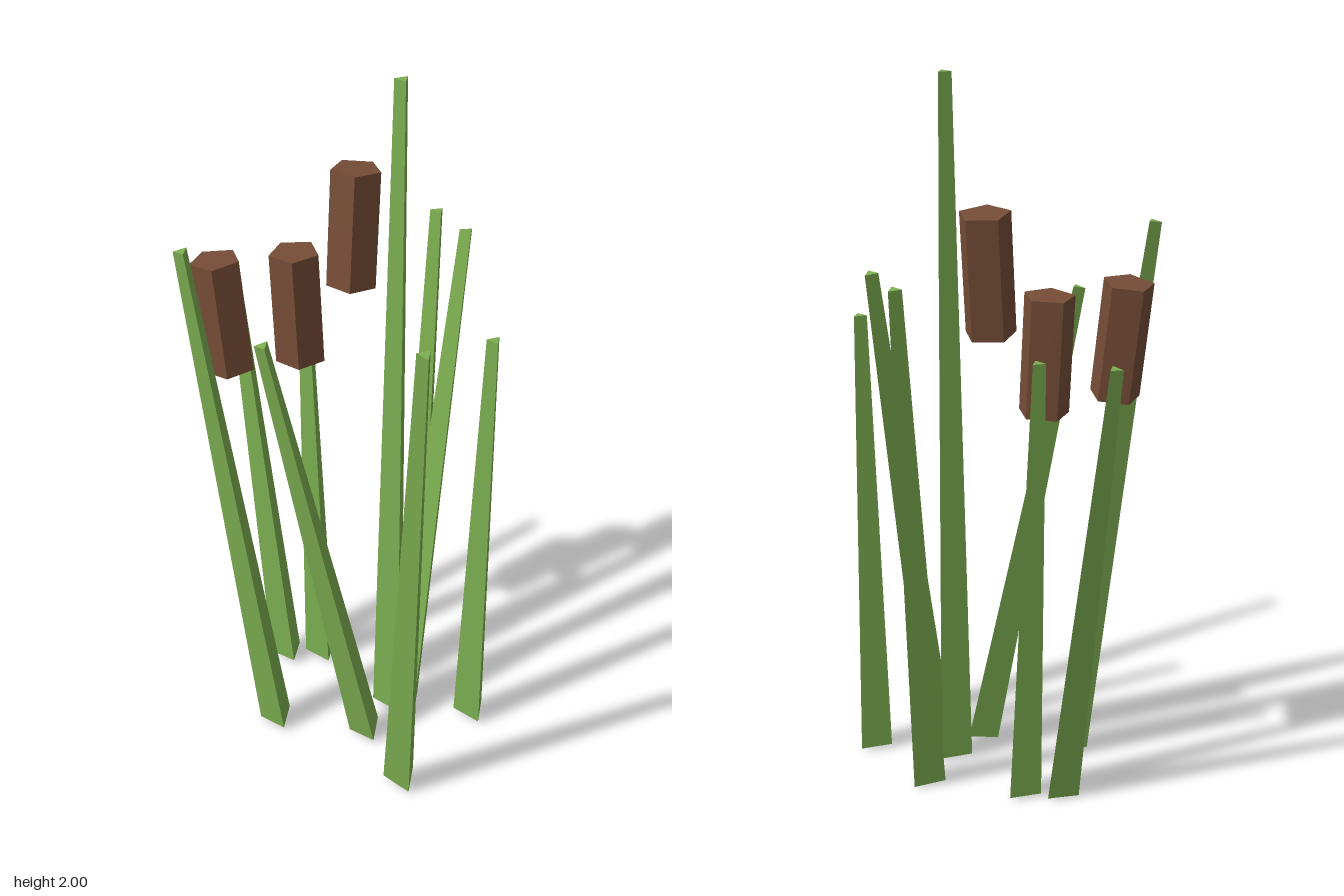
import * as THREE from 'three';

export function createModel() {
  const group = new THREE.Group();
  const green = new THREE.MeshStandardMaterial({ color: 0x7cae50, flatShading: true });
  green.name = 'reedGreen';
  const brown = new THREE.MeshStandardMaterial({ color: 0x764d37, flatShading: true });
  brown.name = 'seedHeadBrown';
  const up = new THREE.Vector3(0, 1, 0);

  // Straight faceted prism from one centre point to another, one corner facing +x
  function prism(name, from, to, rBottom, rTop, sides, material) {
    const a = new THREE.Vector3(...from), b = new THREE.Vector3(...to);
    const axis = b.clone().sub(a);
    const geometry = new THREE.CylinderGeometry(rTop, rBottom, axis.length(), sides, 1, false, Math.PI / 2);
    const mesh = new THREE.Mesh(geometry, material);
    mesh.name = name;
    mesh.position.copy(a).add(b).multiplyScalar(0.5);
    mesh.quaternion.setFromUnitVectors(up, axis.normalize());
    group.add(mesh);
  }

  // Reed stalks: base x, base z, tip x, tip height, tip z
  const stalks = [
    [-0.26, -0.11, -0.368, 1.59, -0.285],
    [-0.132, 0.128, -0.326, 1.38, -0.06],
    [-0.223, 0.33, -0.32, 1.56, 0.45],
    [0.127, 0.32, 0.143, 1.32, 0.328],
    [0.037, 0.145, 0.303, 1.5, 0.115],
    [0.177, 0.053, 0.357, 1.49, -0.024],
    [0.009, 0.105, 0.08, 1.998, 0.063],
    [-0.023, -0.275, 0, 1.29, -0.455],
    [0.047, -0.195, 0.066, 1.28, -0.253],
  ];
  stalks.forEach(([bx, bz, tx, ty, tz], i) =>
    prism(`stalk${i + 1}`, [bx, 0.007, bz], [tx, ty, tz], 0.053, 0.021, 3, green));

  // Cattail seed heads: bottom centre, top centre
  const heads = [
    [[-0.192, 1.145, -0.302], [-0.187, 1.462, -0.345]],
    [[-0.005, 1.12, -0.212], [0.001, 1.443, -0.233]],
    [[0.103, 1.34, -0.12], [0.143, 1.666, -0.135]],
  ];
  heads.forEach(([from, to], i) => prism(`seedHead${i + 1}`, from, to, 0.07, 0.07, 5, brown));

  return group;
}
